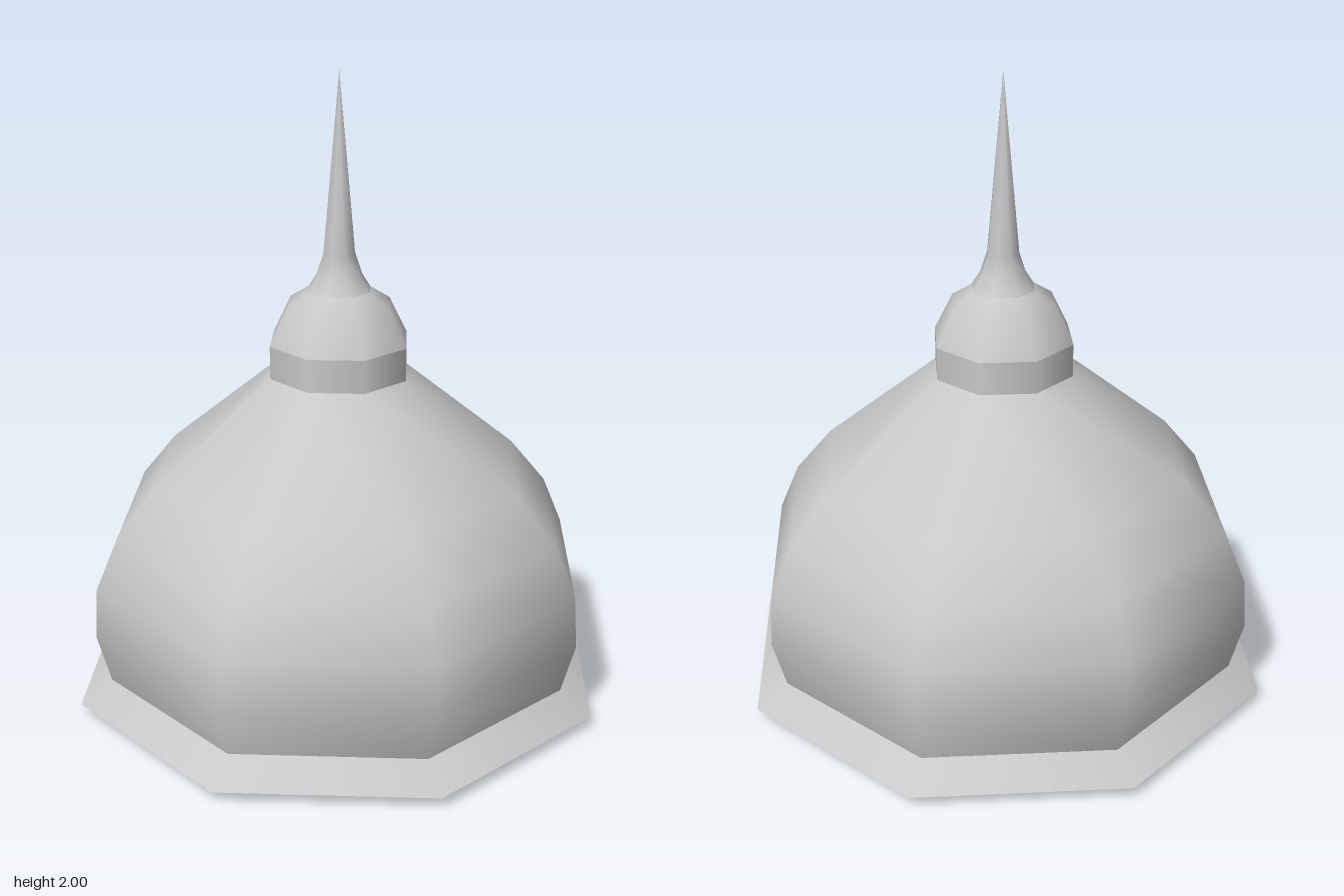
import * as THREE from 'three';

export function createModel() {
  const model = new THREE.Group();
  const stone = new THREE.MeshStandardMaterial({ color: 0xc8c8c8 });
  stone.name = 'pale grey stone';
  const SIDES = 8;
  const TURN = Math.PI / 8; // flat sides face the axes
  const toCorner = 1 / Math.cos(TURN); // half-width across flats to corner radius

  function add(name, geometry) {
    const mesh = new THREE.Mesh(geometry, stone);
    mesh.name = name;
    model.add(mesh);
    return mesh;
  }

  // Octagonal turned part from [half-width across flats, height] points, bottom to top
  function turned(name, profile) {
    const points = profile.map(([r, y]) => new THREE.Vector2(r * toCorner, y));
    return add(name, new THREE.LatheGeometry(points, SIDES, TURN));
  }

  // Flared base with sharp rims and a closed underside
  turned('baseUnderBevel', [[0.71, 0], [0.805, 0.04]]);
  turned('baseTopBevel', [[0.805, 0.04], [0.71, 0.11]]);
  add('baseUnderside', new THREE.CircleGeometry(0.71 * toCorner, SIDES, TURN).rotateX(Math.PI / 2));

  // Swelling dome
  turned('dome', [
    [0.71, 0.11], [0.75, 0.27], [0.742, 0.43], [0.678, 0.59], [0.56, 0.745], [0.21, 1.06],
  ]);

  // Collar and knob
  turned('collar', [[0.21, 1.06], [0.21, 1.165]]);
  turned('knob', [[0.21, 1.165], [0.155, 1.285], [0.095, 1.327]]);

  // Tapering spire
  turned('spire', [[0.095, 1.327], [0.07, 1.37], [0.048, 1.44], [0, 2]]);

  return model;
}
